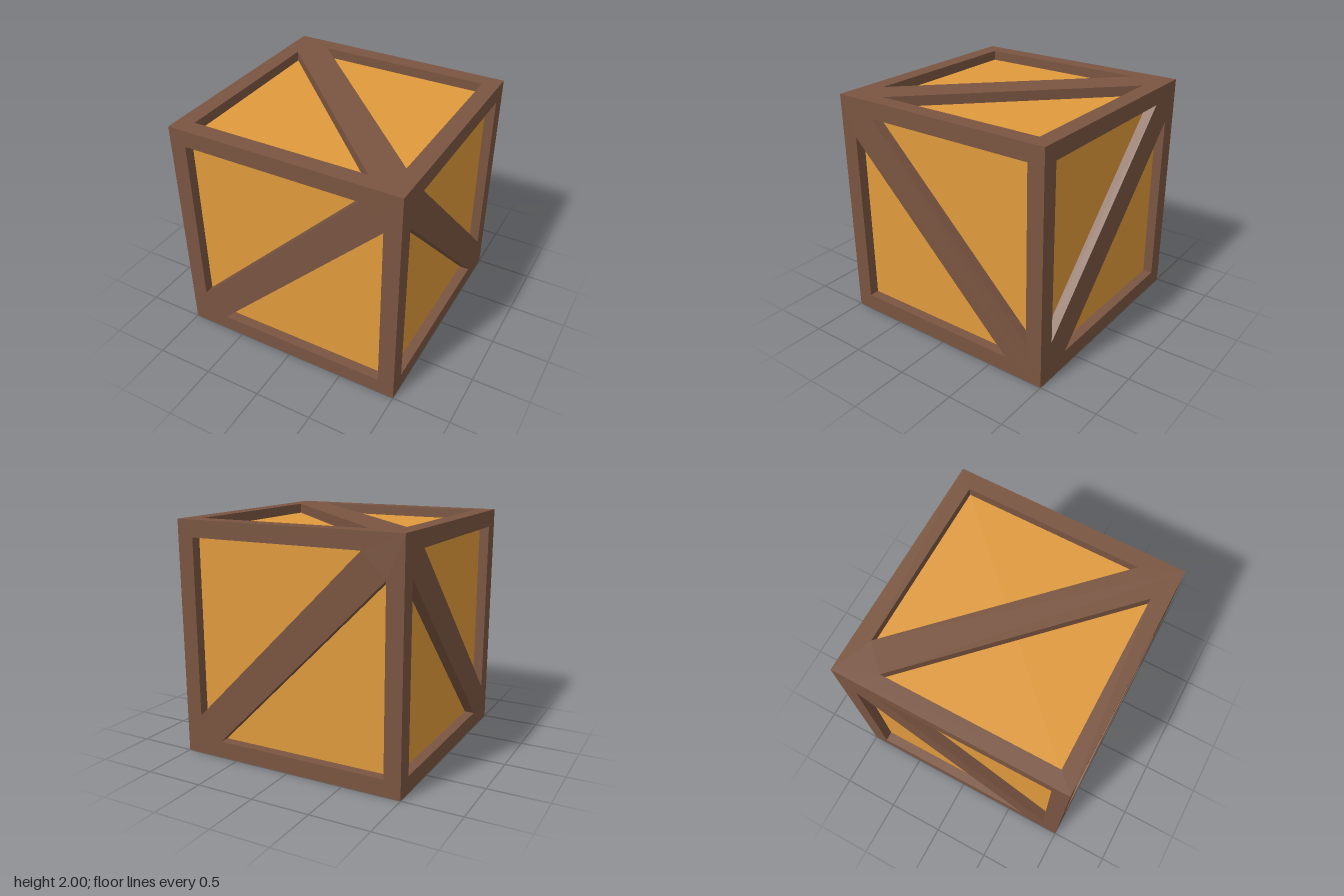
import * as THREE from 'three';

const INNER = 0.857;   // half size of the opening inside the rim
const BRACE = 0.2;     // offset of the brace edges from the diagonal
const DEPTH = 0.086;   // recess of the panels

const polygon = (points, Type) => new Type(points.map(([x, y]) => new THREE.Vector2(x, y)));

// Square rim with a diagonal brace; the back is mitred at 45 degrees so six plates meet cleanly
function frameGeometry() {
  const shape = polygon([[-1, -1], [1, -1], [1, 1], [-1, 1]], THREE.Shape);
  const triangle = [[-INNER, INNER], [-INNER, BRACE - INNER], [INNER - BRACE, INNER]];
  shape.holes.push(
    polygon(triangle, THREE.Path),
    polygon(triangle.map(([x, y]) => [-x, -y]), THREE.Path)
  );
  const geometry = new THREE.ExtrudeGeometry(shape, { depth: DEPTH, bevelEnabled: false });
  geometry.translate(0, 0, 1 - DEPTH);
  const p = geometry.attributes.position;
  for (let i = 0; i < p.count; i++) {
    if (p.getZ(i) > 0.99) continue;
    if (Math.abs(p.getX(i)) > 0.99) p.setX(i, p.getX(i) * (1 - DEPTH));
    if (Math.abs(p.getY(i)) > 0.99) p.setY(i, p.getY(i) * (1 - DEPTH));
  }
  geometry.computeVertexNormals();
  return geometry;
}

export function createModel() {
  const crate = new THREE.Group();
  crate.name = 'crate';
  const darkWood = new THREE.MeshStandardMaterial({ color: 0x7a5541 });
  const lightWood = new THREE.MeshStandardMaterial({ color: 0xe09a3c });

  // Inner box showing through the openings as recessed panels
  const size = 2 * (1 - DEPTH);
  const panels = new THREE.Mesh(new THREE.BoxGeometry(size, size, size), lightWood);
  panels.name = 'panels';
  panels.position.y = 1;
  crate.add(panels);

  // One braced frame per side; the last turn picks the brace direction
  const q = Math.PI / 2;
  const sides = {
    frontFrame: [0, 0, 0],
    backFrame: [0, 2 * q, 0],
    leftFrame: [0, q, q],
    rightFrame: [0, -q, q],
    topFrame: [-q, 0, q],
    bottomFrame: [q, 0, 0],
  };
  const geometry = frameGeometry();
  for (const [name, turn] of Object.entries(sides)) {
    const frame = new THREE.Mesh(geometry, darkWood);
    frame.name = name;
    frame.rotation.set(...turn);
    frame.position.y = 1;
    crate.add(frame);
  }
  return crate;
}
